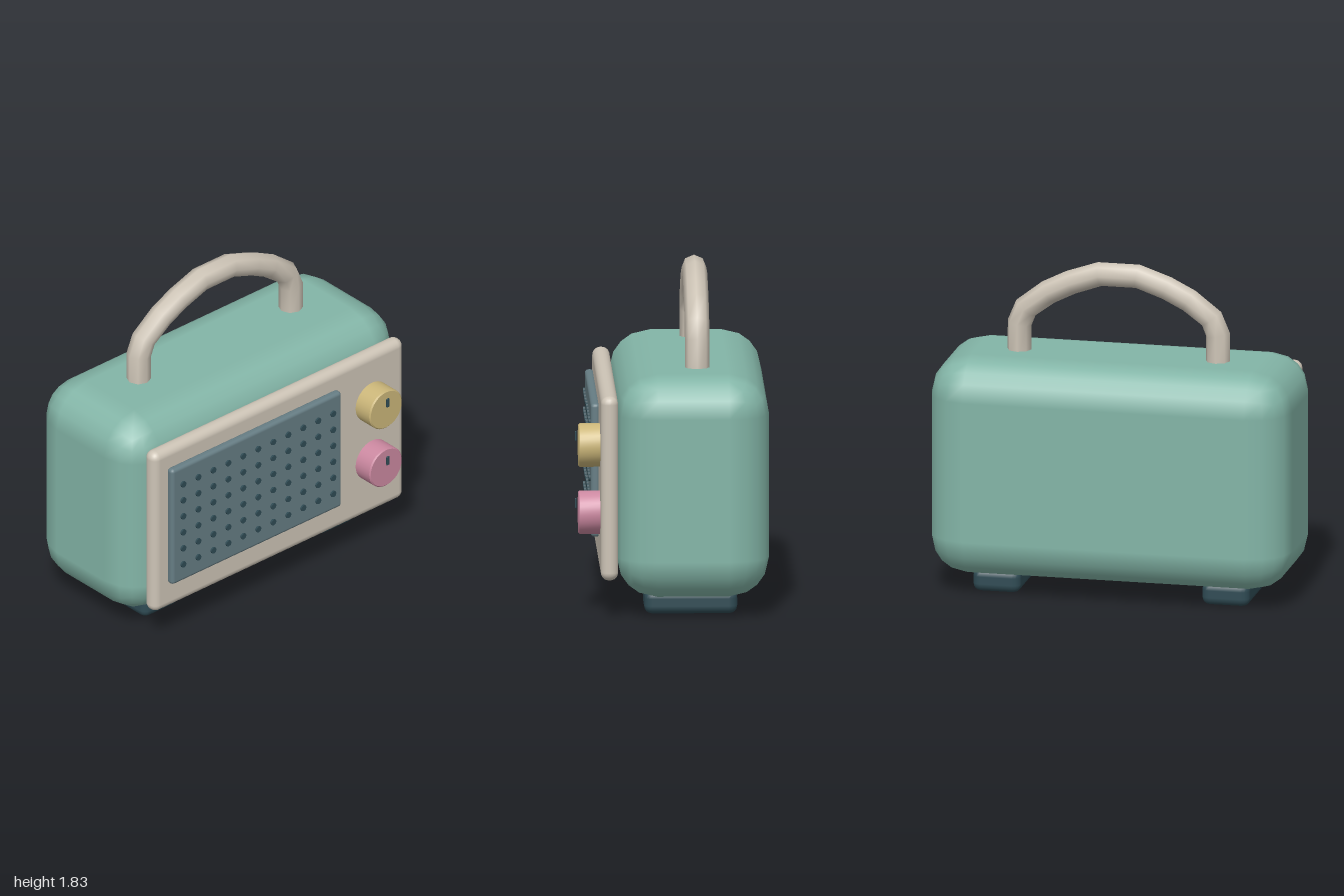
import * as THREE from 'three';
import { RoundedBoxGeometry } from 'three/addons/geometries/RoundedBoxGeometry.js';
import { toCreasedNormals } from 'three/addons/utils/BufferGeometryUtils.js';

const material = (name, color) => {
  const m = new THREE.MeshStandardMaterial({ color });
  m.name = name;
  return m;
};

export function createModel() {
  const model = new THREE.Group();
  model.name = 'radio';
  const green = material('sage green', 0x83b5a7);
  const cream = material('warm cream', 0xcdc4b6);
  const slate = material('slate grey', 0x667d84);
  const dark = material('dark teal', 0x2f4b54);
  const yellow = material('mustard', 0xcbb679);
  const pink = material('rose', 0xcb88a0);

  const add = (name, geometry, mat, x, y, z, parent = model) => {
    const mesh = new THREE.Mesh(geometry, mat);
    mesh.name = name;
    mesh.position.set(x, y, z);
    parent.add(mesh);
    return mesh;
  };

  // Case, front panel and speaker grille
  add('case', new RoundedBoxGeometry(2, 1.22, 0.825, 2, 0.22), green, 0, 0.71, -0.1125);
  add('frontPanel', new RoundedBoxGeometry(1.815, 1.01, 0.094, 3, 0.045), cream, 0, 0.708, 0.341);
  add('grille', new RoundedBoxGeometry(1.23, 0.73, 0.05, 2, 0.02), slate, -0.2, 0.735, 0.405);

  // Grid of round speaker holes, as small raised discs
  const holes = new THREE.Group();
  holes.name = 'speakerHoles';
  model.add(holes);
  const hole = new THREE.CylinderGeometry(0.018, 0.018, 0.014, 8).rotateX(Math.PI / 2);
  for (let row = 0; row < 6; row++) {
    for (let col = 0; col < 11; col++) {
      add('speakerHole', hole, dark, -0.74 + col * 0.1085, 0.99 - row * 0.102, 0.434, holes);
    }
  }

  // Knobs with a slightly eased rim, each with a pointer mark
  const profile = [[0, 0], [0.118, 0], [0.118, 0.118], [0.111, 0.125], [0, 0.125]]
    .map(([r, h]) => new THREE.Vector2(r, h));
  const knob = toCreasedNormals(new THREE.LatheGeometry(profile, 32).rotateX(Math.PI / 2), 0.6);
  const pointer = new RoundedBoxGeometry(0.02, 0.054, 0.009, 2, 0.004);
  for (const [name, mat, y] of [['upperKnob', yellow, 0.915], ['lowerKnob', pink, 0.547]]) {
    add(name, knob, mat, 0.667, y, 0.38);
    add(name + 'Pointer', pointer, dark, 0.667, y + 0.05, 0.518);
  }

  // Carrying handle: a mirrored path swept as a faceted tube
  const half = [[0.55, 1.25], [0.55, 1.468], [0.515, 1.553], [0.39, 1.648], [0.266, 1.71], [0.105, 1.766]];
  const points = [...half.map(([x, y]) => [-x, y]), ...half.slice().reverse()]
    .map(([x, y]) => new THREE.Vector3(x, y, 0));
  const path = new THREE.CatmullRomCurve3(points);
  // One tube ring exactly at each path point
  path.getPointAt = (t, target) => path.getPoint(t, target);
  path.getTangentAt = (t, target) => path.getTangent(t, target);
  add('handle', new THREE.TubeGeometry(path, points.length - 1, 0.067, 8), cream, 0, 0, -0.142);

  // Feet
  const foot = new RoundedBoxGeometry(0.266, 0.13, 0.505, 2, 0.045);
  for (const side of [-1, 1]) {
    add(side > 0 ? 'leftFoot' : 'rightFoot', foot, dark, side * 0.635, 0.065, -0.102);
  }
  return model;
}
